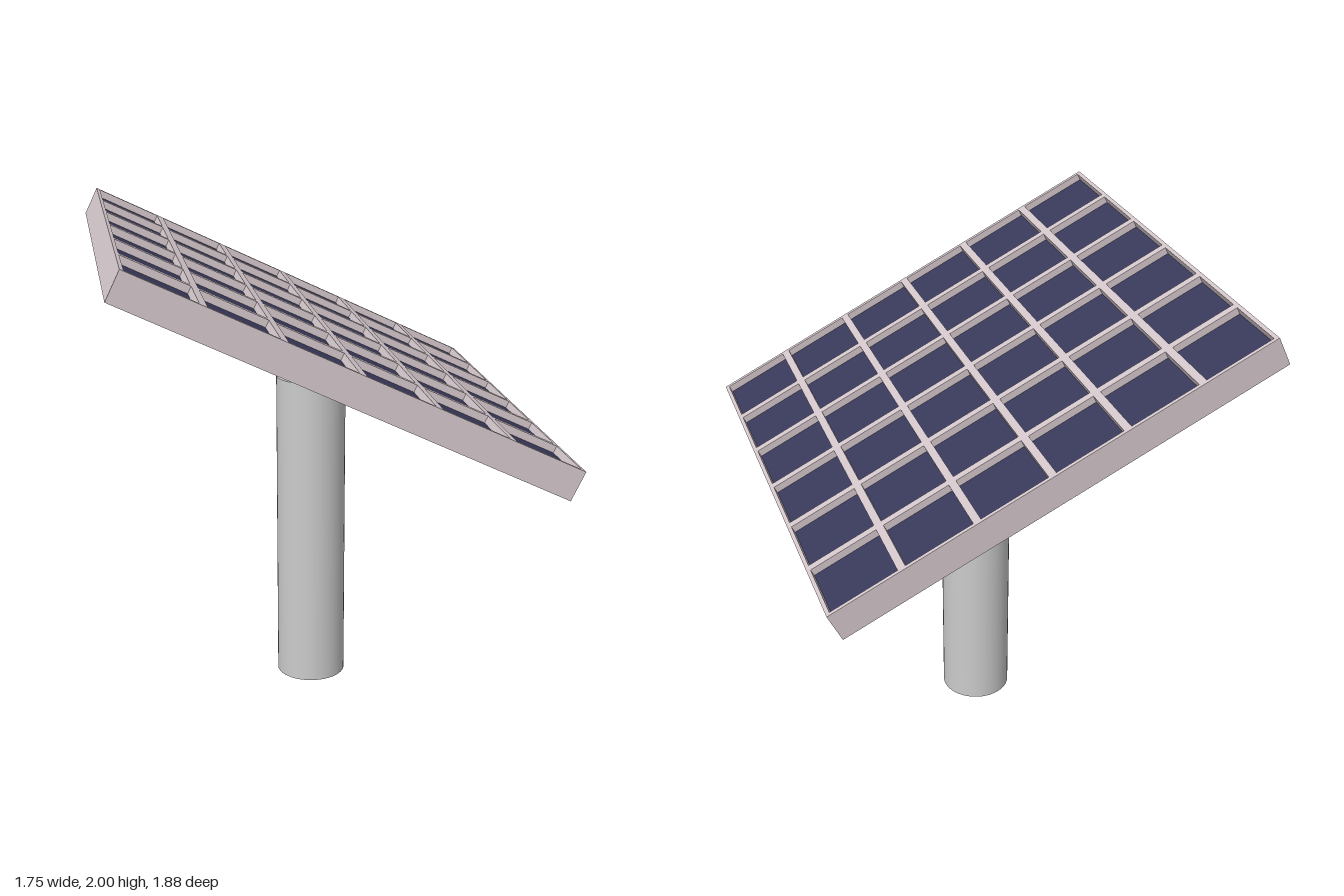
import * as THREE from 'three';

const SIZE = 1.885;       // panel edge length
const THICK = 0.125;      // panel thickness
const DEPTH = 0.032;      // recess of the cells
const COUNT = 6;          // cells per side
const PITCH = SIZE / COUNT;
const CELL = PITCH * 0.9;
const TILT = THREE.MathUtils.degToRad(25.9);

const postMat = new THREE.MeshStandardMaterial({ color: 0xcccccc });
const frameMat = new THREE.MeshStandardMaterial({ color: 0xd4c7cb });
const cellMat = new THREE.MeshStandardMaterial({ color: 0x38385a });

function add(parent, name, geometry, material, x = 0, y = 0, z = 0) {
  const mesh = new THREE.Mesh(geometry, material);
  mesh.name = name;
  mesh.position.set(x, y, z);
  parent.add(mesh);
  return mesh;
}

// Trace a square centred on (x, y)
function square(path, x, y, size) {
  const h = size / 2;
  path.moveTo(x - h, y - h);
  path.lineTo(x + h, y - h);
  path.lineTo(x + h, y + h);
  path.lineTo(x - h, y + h);
  path.closePath();
  return path;
}

export function createModel() {
  const model = new THREE.Group();
  model.name = 'solarPanel';

  // Upright post, ending just under the panel
  add(model, 'post', new THREE.CylinderGeometry(0.145, 0.145, 1.34, 48), postMat, 0, 0.67, 0);

  // Tilted panel, high on the -x side
  const panel = new THREE.Group();
  panel.name = 'panel';
  panel.position.y = 1.533;
  panel.rotation.z = -TILT;
  model.add(panel);

  // Solid backing slab
  const backing = THICK - DEPTH;
  const floorY = THICK / 2 - DEPTH;
  add(panel, 'backing', new THREE.BoxGeometry(SIZE, backing, SIZE), frameMat, 0, floorY - backing / 2, 0);

  // Lattice frame with one opening per cell, and the dark cells at its floor
  const lattice = square(new THREE.Shape(), 0, 0, SIZE);
  const cells = new THREE.Group();
  cells.name = 'cells';
  panel.add(cells);
  const cellGeo = new THREE.BoxGeometry(CELL, 0.004, CELL);
  for (let i = 0; i < COUNT; i++) {
    for (let j = 0; j < COUNT; j++) {
      const x = (i - (COUNT - 1) / 2) * PITCH;
      const z = (j - (COUNT - 1) / 2) * PITCH;
      lattice.holes.push(square(new THREE.Path(), x, z, CELL));
      add(cells, 'cell', cellGeo, cellMat, x, floorY, z);
    }
  }
  const latticeGeo = new THREE.ExtrudeGeometry(lattice, { depth: DEPTH, bevelEnabled: false });
  latticeGeo.rotateX(-Math.PI / 2);
  add(panel, 'latticeFrame', latticeGeo, frameMat, 0, floorY, 0);

  return model;
}
